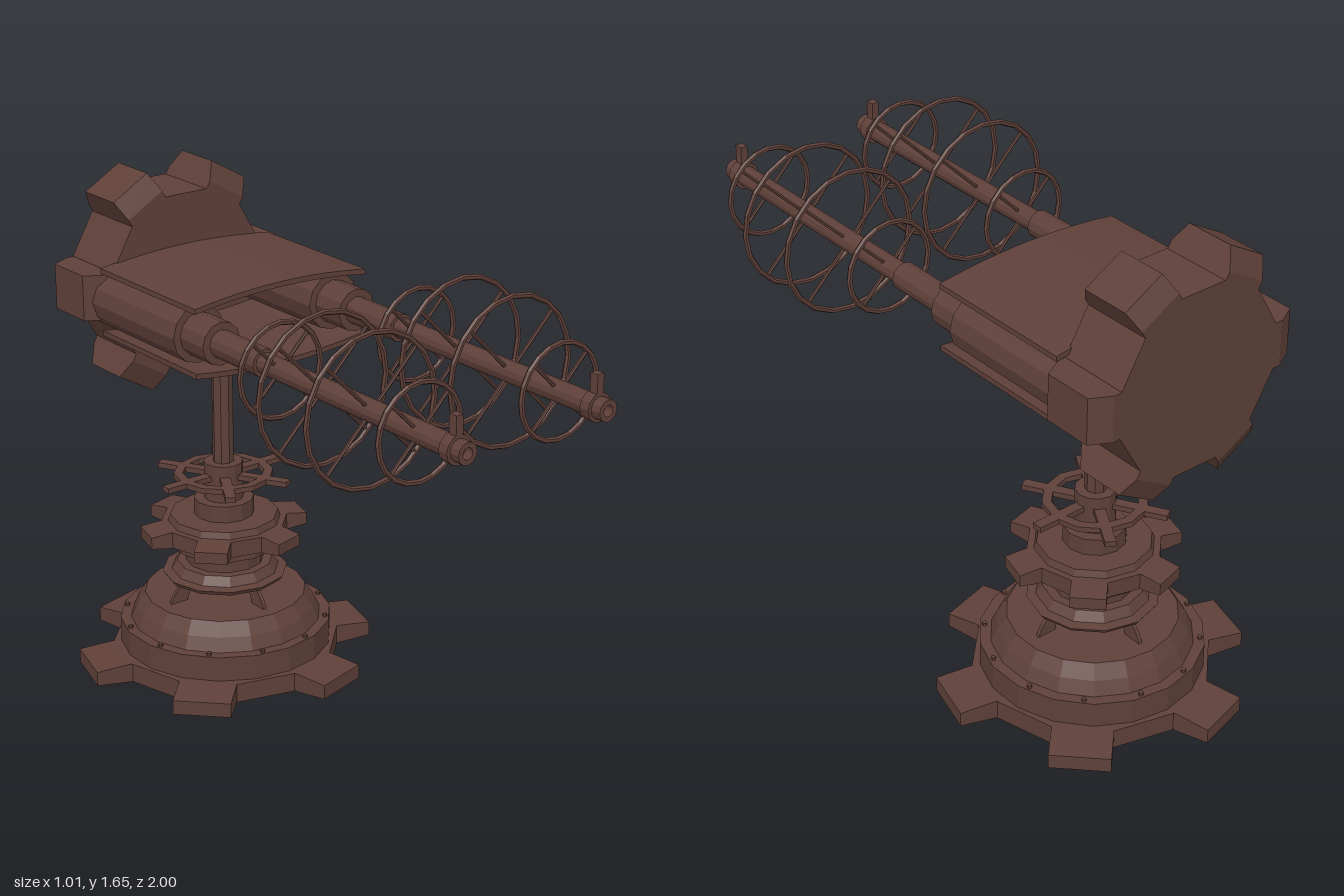
import * as THREE from 'three';

export function createModel() {
  const model = new THREE.Group();
  const brown = new THREE.MeshStandardMaterial({ color: 0x5f4039, flatShading: true });
  brown.name = 'darkBrown';

  const add = (parent, name, geo, x = 0, y = 0, z = 0) => {
    const mesh = new THREE.Mesh(geo, brown);
    mesh.name = name;
    mesh.position.set(x, y, z);
    parent.add(mesh);
    return mesh;
  };
  const group = (parent, name, x, y, z) => {
    const g = new THREE.Group();
    g.name = name;
    g.position.set(x, y, z);
    parent.add(g);
    return g;
  };
  const lathe = (pts, sides) =>
    new THREE.LatheGeometry(pts.map(([r, y]) => new THREE.Vector2(r, y)), sides);
  const polygon = (pts) => new THREE.Shape(pts.map(([x, y]) => new THREE.Vector2(x, y)));
  const slab = (shape, depth) =>
    new THREE.ExtrudeGeometry(shape, { depth, bevelEnabled: false, curveSegments: 12 })
      .translate(0, 0, -depth / 2);

  // Gear about the y axis: a disc with six teeth whose outer edges are chamfered
  const gear = (parent, name, pos, { disc, outer, half, width, cut, drop, phase = 0 }) => {
    const g = group(parent, name, ...pos);
    add(g, name + 'Disc', new THREE.CylinderGeometry(disc, disc, half * 2, 12).rotateY(Math.PI / 12 + phase));
    const tooth = slab(polygon([
      [disc * 0.8, -half], [outer - cut, -half], [outer, drop - half],
      [outer, half - drop], [outer - cut, half], [disc * 0.8, half],
    ]), width);
    for (let i = 0; i < 6; i++) {
      add(g, name + 'Tooth', tooth).rotation.y = phase + i * Math.PI / 3;
    }
    return g;
  };

  // Pedestal
  const base = group(model, 'pedestal', 0, 0, -0.5);
  const phase = -Math.PI / 12;
  gear(base, 'footGear', [0, 0.0325, 0],
    { disc: 0.38, outer: 0.49, half: 0.0325, width: 0.19, cut: 0.11, drop: 0.008, phase });
  add(base, 'steppedDome', lathe([
    [0, 0.06], [0.355, 0.06], [0.355, 0.15], [0.32, 0.15], [0.3, 0.195], [0.27, 0.24], [0, 0.24],
  ], 18));
  for (let i = 0; i < 12; i++) {
    const a = (i + 0.5) * Math.PI / 6;
    add(base, 'ledgeBolt', new THREE.CylinderGeometry(0.008, 0.008, 0.012, 6),
      0.338 * Math.cos(a), 0.154, 0.338 * Math.sin(a));
  }

  // Four curved fins carrying the upper stack
  const finShape = new THREE.Shape();
  finShape.moveTo(0.225, 0.235);
  finShape.quadraticCurveTo(0.21, 0.285, 0.165, 0.31);
  finShape.lineTo(0.11, 0.31);
  finShape.quadraticCurveTo(0.15, 0.28, 0.16, 0.235);
  const fin = slab(finShape, 0.012);
  for (let i = 0; i < 4; i++) add(base, 'curvedFin', fin).rotation.y = i * Math.PI / 2;

  // Stacked collars
  add(base, 'lowerCollar', lathe([
    [0, 0.3], [0.2, 0.3], [0.21, 0.315], [0.18, 0.32], [0.16, 0.35], [0.13, 0.35],
    [0.13, 0.405], [0.17, 0.405], [0.17, 0.445], [0, 0.445],
  ], 12));
  gear(base, 'middleGear', [0, 0.4675, 0],
    { disc: 0.21, outer: 0.275, half: 0.0275, width: 0.11, cut: 0.06, drop: 0.008, phase });
  add(base, 'upperCollar', lathe([
    [0, 0.49], [0.19, 0.49], [0.18, 0.517], [0.1, 0.517], [0.1, 0.573],
    [0.065, 0.573], [0.065, 0.7], [0, 0.7],
  ], 12));

  // Open spoked ring
  const spoked = group(base, 'spokedRing', 0, 0.653, 0);
  const ringShape = new THREE.Shape().absarc(0, 0, 0.165, 0, Math.PI * 2);
  ringShape.holes.push(new THREE.Path().absarc(0, 0, 0.135, 0, Math.PI * 2, true));
  add(spoked, 'ring', new THREE.ExtrudeGeometry(ringShape, { depth: 0.018, bevelEnabled: false, curveSegments: 6 })
    .translate(0, 0, -0.009).rotateX(Math.PI / 2));
  const spokeBar = new THREE.BoxGeometry(0.18, 0.018, 0.035).translate(0.142, 0, 0);
  for (let i = 0; i < 6; i++) add(spoked, 'spoke', spokeBar).rotation.y = i * Math.PI / 3;

  add(base, 'post', new THREE.CylinderGeometry(0.035, 0.035, 0.45, 8), 0, 0.915, 0);

  // Rear gear standing upright behind the head
  const rear = gear(model, 'rearGear', [0, 1.28, -0.798],
    { disc: 0.3, outer: 0.382, half: 0.117, width: 0.15, cut: 0.065, drop: 0.035 });
  rear.rotation.x = Math.PI / 2;

  // Arched cover plates above and below the barrels
  const head = group(model, 'head', 0, 1.265, 0);
  const arch = new THREE.Shape();
  arch.moveTo(-0.33, 0.095);
  arch.quadraticCurveTo(0, 0.145, 0.33, 0.095);
  arch.lineTo(0.33, 0.112);
  arch.quadraticCurveTo(0, 0.162, -0.33, 0.112);
  const cover = slab(arch, 0.52);
  add(head, 'topCover', cover, 0, 0, -0.43);
  add(head, 'bottomCover', cover, 0, 0, -0.43).rotation.z = Math.PI;

  // Twin barrels with their rings
  const barrelGeo = lathe([
    [0, -0.73], [0.095, -0.73], [0.095, -0.25], [0.07, -0.25], [0.07, -0.13], [0.045, -0.13],
    [0.045, 0.09], [0.034, 0.09], [0.034, 0.93], [0.045, 0.93], [0.045, 0.965], [0.034, 0.965],
    [0.034, 1], [0.018, 1], [0.018, 0.97], [0, 0.97],
  ], 12).rotateX(Math.PI / 2);
  const rings = [[0.165, 0.148], [0.37, 0.233], [0.59, 0.233], [0.8, 0.148]];
  for (const side of [-1, 1]) {
    const gun = group(head, side > 0 ? 'leftBarrel' : 'rightBarrel', side * 0.262, 0, 0);
    add(gun, 'barrel', barrelGeo);
    add(gun, 'sight', new THREE.BoxGeometry(0.025, 0.09, 0.03), 0, 0.056, 0.95);
    for (const [z, r] of rings) {
      const hoop = group(gun, 'barrelRing', 0, 0, z);
      add(hoop, 'hoop', new THREE.TorusGeometry(r, 0.009, 6, 20));
      const rod = new THREE.CylinderGeometry(0.006, 0.006, r - 0.02, 6).translate(0, (r + 0.02) / 2, 0);
      for (let i = 0; i < 4; i++) add(hoop, 'hoopSpoke', rod).rotation.z = (i + 0.5) * Math.PI / 2;
    }
  }
  return model;
}
